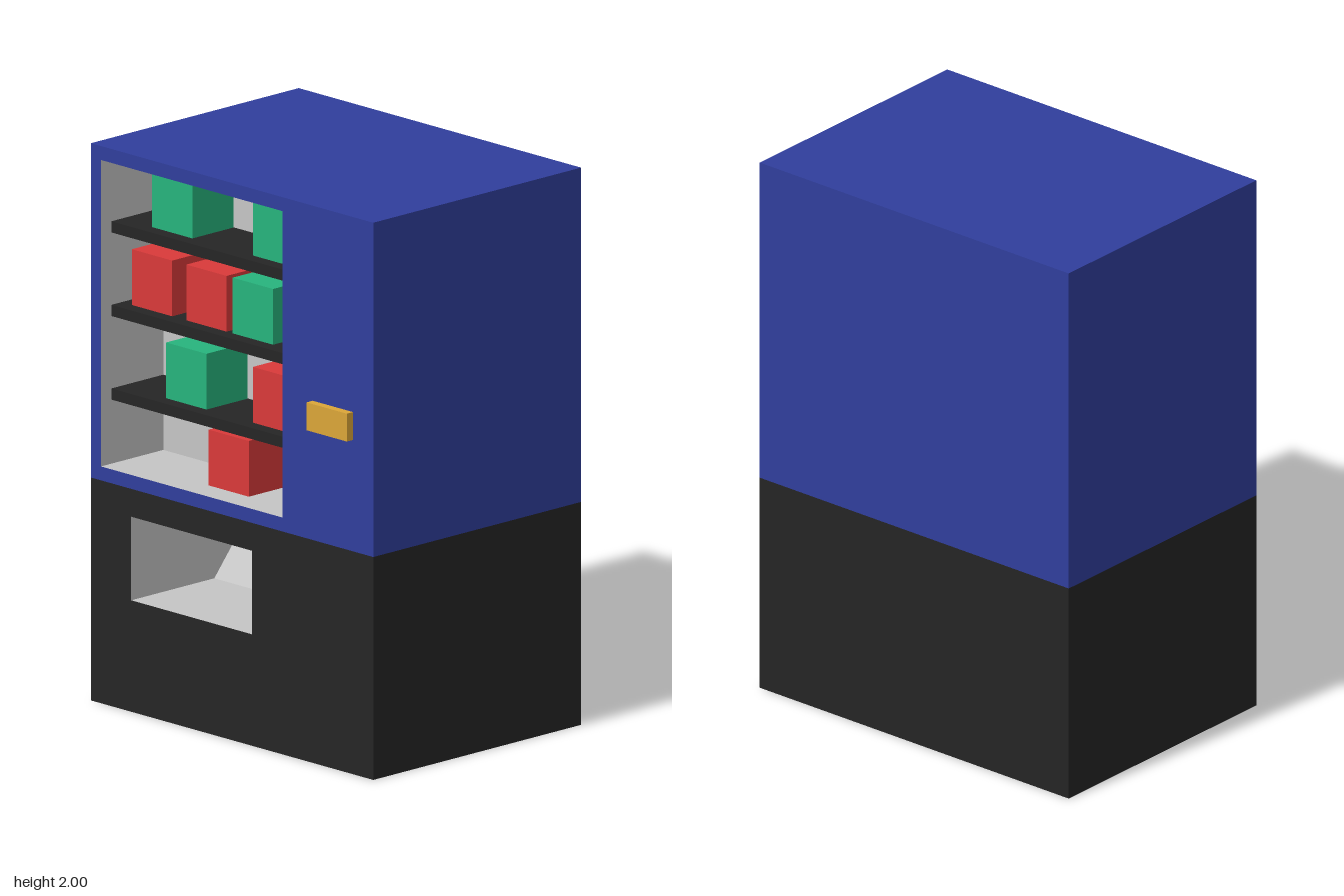
import * as THREE from 'three';

const FRONT = 0.485, BACK = -0.515;

function mat(name, color) {
  const m = new THREE.MeshStandardMaterial({ color });
  m.name = name;
  return m;
}

// Box from min/max corners, without the listed faces (0 +x, 1 -x, 2 +y, 3 -y, 4 +z, 5 -z).
function boxBetween([x0, x1], [y0, y1], [z0, z1], drop = [], inward = false) {
  const g = new THREE.BoxGeometry(x1 - x0, y1 - y0, z1 - z0);
  g.translate((x0 + x1) / 2, (y0 + y1) / 2, (z0 + z1) / 2);
  let index = Array.from(g.index.array).filter((_, i) => !drop.includes(Math.floor(i / 6)));
  if (inward) index = index.reverse();
  g.setIndex(index);
  g.clearGroups();
  g.computeVertexNormals();
  return g;
}

function rectangle(path, [x0, x1], [y0, y1]) {
  path.moveTo(x0, y0);
  path.lineTo(x1, y0);
  path.lineTo(x1, y1);
  path.lineTo(x0, y1);
  path.closePath();
  return path;
}

export function createModel() {
  const model = new THREE.Group();
  model.name = 'vendingMachine';

  const blue = mat('cabinet blue', 0x303e9c);
  const black = mat('base black', 0x252525);
  const grey = mat('interior grey', 0xc5c5c5);
  const green = mat('product green', 0x27b47d);
  const red = mat('product red', 0xd93a3a);
  const gold = mat('coin slot gold', 0xdba638);

  function add(name, geometry, material, parent = model) {
    const mesh = new THREE.Mesh(geometry, material);
    mesh.name = name;
    parent.add(mesh);
    return mesh;
  }

  // Outer shell section: open-fronted box plus a front panel with an opening
  function section(name, y, material, holeX, holeY, joint) {
    const group = new THREE.Group();
    group.name = name;
    model.add(group);
    add(name + 'Shell', boxBetween([-0.7, 0.7], y, [BACK, FRONT], [4, joint]), material, group);
    const panel = rectangle(new THREE.Shape(), [-0.7, 0.7], y);
    panel.holes.push(rectangle(new THREE.Path(), holeX, holeY));
    add(name + 'Front', new THREE.ShapeGeometry(panel).translate(0, 0, FRONT), material, group);
  }

  const windowX = [-0.65, 0.25], windowY = [0.85, 1.95], windowBack = FRONT - 0.3;
  const hatchX = [-0.5, 0.1], hatchY = [0.4, 0.7], hatchBack = FRONT - 0.4;
  section('cabinet', [0.8, 2], blue, windowX, windowY, 3);
  section('base', [0, 0.8], black, hatchX, hatchY, 2);

  // Display recess
  add('displayInterior', boxBetween(windowX, windowY, [windowBack, FRONT], [4], true), grey);

  // Pickup chute, its back wall leaning away toward the top
  const chute = boxBetween(hatchX, hatchY, [hatchBack, FRONT], [4], true);
  const p = chute.attributes.position;
  for (let i = 0; i < p.count; i++) {
    if (p.getZ(i) < FRONT - 0.2 && p.getY(i) > 0.55) p.setZ(i, hatchBack - 0.25);
  }
  chute.computeVertexNormals();
  add('pickupChute', chute, grey);

  // Shelves
  for (const y of [1.1, 1.4, 1.7]) {
    add('shelf', boxBetween(windowX, [y - 0.02, y + 0.02], [windowBack, FRONT - 0.05]), black);
  }

  // Products: left edge, bottom, colour
  const products = [
    [-0.5, 1.72, green], [0, 1.72, green],
    [-0.6, 1.42, red], [-0.33, 1.42, red], [-0.1, 1.42, green],
    [-0.43, 1.12, green], [0, 1.12, red],
    [-0.22, 0.85, red],
  ];
  for (const [x, y, material] of products) {
    add('product', boxBetween([x, x + 0.2], [y, y + 0.2], [windowBack + 0.003, FRONT - 0.1]), material);
  }

  // Coin slot
  add('coinSlot', boxBetween([0.4, 0.6], [1.2, 1.3], [FRONT, FRONT + 0.03]), gold);

  return model;
}
